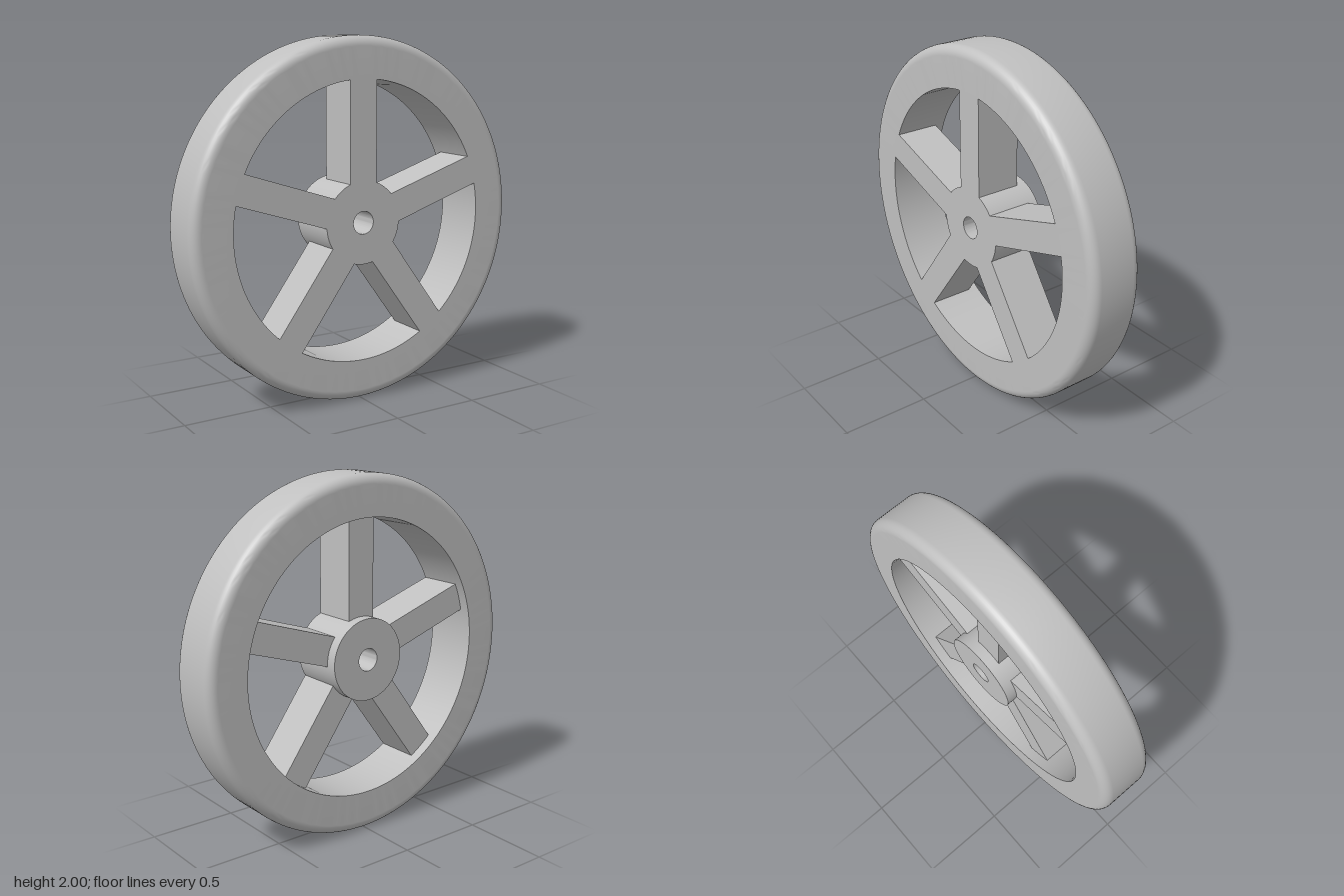
import * as THREE from 'three';
import { toCreasedNormals } from 'three/addons/utils/BufferGeometryUtils.js';

const RIM_R = 1, RIM_INNER = 0.772, HUB_R = 0.23, BORE_R = 0.063;
const HALF = 0.158;        // half the wheel's width
const SPOKE_BACK = -0.097; // spokes are flush at the front, recessed at the back
const SPOKE_HALF = 0.083;
const FILLET = 0.055;

// Closed profile turned about the z axis
function ring(profile, segments) {
  const g = new THREE.LatheGeometry(profile, segments);
  g.rotateX(Math.PI / 2);
  return toCreasedNormals(g, 0.5);
}

function rimProfile() {
  const p = [new THREE.Vector2(RIM_INNER, -HALF), new THREE.Vector2(RIM_R - FILLET - 0.004, -HALF)];
  for (const side of [-1, 1]) {
    for (let i = 0; i <= 8; i++) {
      const a = (side < 0 ? i / 8 - 1 : i / 8) * Math.PI / 2;
      p.push(new THREE.Vector2(
        RIM_R - FILLET + FILLET * Math.cos(a),
        side * (HALF - FILLET) + FILLET * Math.sin(a)));
    }
  }
  p.push(new THREE.Vector2(RIM_R - FILLET - 0.004, HALF), new THREE.Vector2(RIM_INNER, HALF), p[0].clone());
  return p;
}

function hubProfile() {
  return [[BORE_R, -HALF], [HUB_R, -HALF], [HUB_R, HALF], [BORE_R, HALF], [BORE_R, -HALF]]
    .map(([r, y]) => new THREE.Vector2(r, y));
}

// Upright spoke whose ends follow the hub and the rim
function spokeGeometry() {
  const outer = Math.asin(SPOKE_HALF / RIM_INNER), inner = Math.asin(SPOKE_HALF / HUB_R);
  const up = Math.PI / 2;
  const s = new THREE.Shape();
  s.absarc(0, 0, RIM_INNER + 0.001, up - outer, up + outer, false);
  s.absarc(0, 0, HUB_R - 0.001, up + inner, up - inner, true);
  s.closePath();
  const g = new THREE.ExtrudeGeometry(s, { depth: HALF - SPOKE_BACK, bevelEnabled: false, curveSegments: 10 });
  g.translate(0, 0, SPOKE_BACK);
  return g;
}

export function createModel() {
  const grey = new THREE.MeshStandardMaterial({ color: 0xc0c0c0 });
  grey.name = 'light grey';

  const wheel = new THREE.Group();
  wheel.name = 'wheel';
  const add = (name, geometry) => {
    const m = new THREE.Mesh(geometry, grey);
    m.name = name;
    m.position.y = RIM_R;
    wheel.add(m);
    return m;
  };

  add('rim', ring(rimProfile(), 160));
  add('hub', ring(hubProfile(), 80));

  const spoke = spokeGeometry();
  for (let i = 0; i < 5; i++) add('spoke' + (i + 1), spoke).rotation.z = i * Math.PI * 2 / 5;

  return wheel;
}
